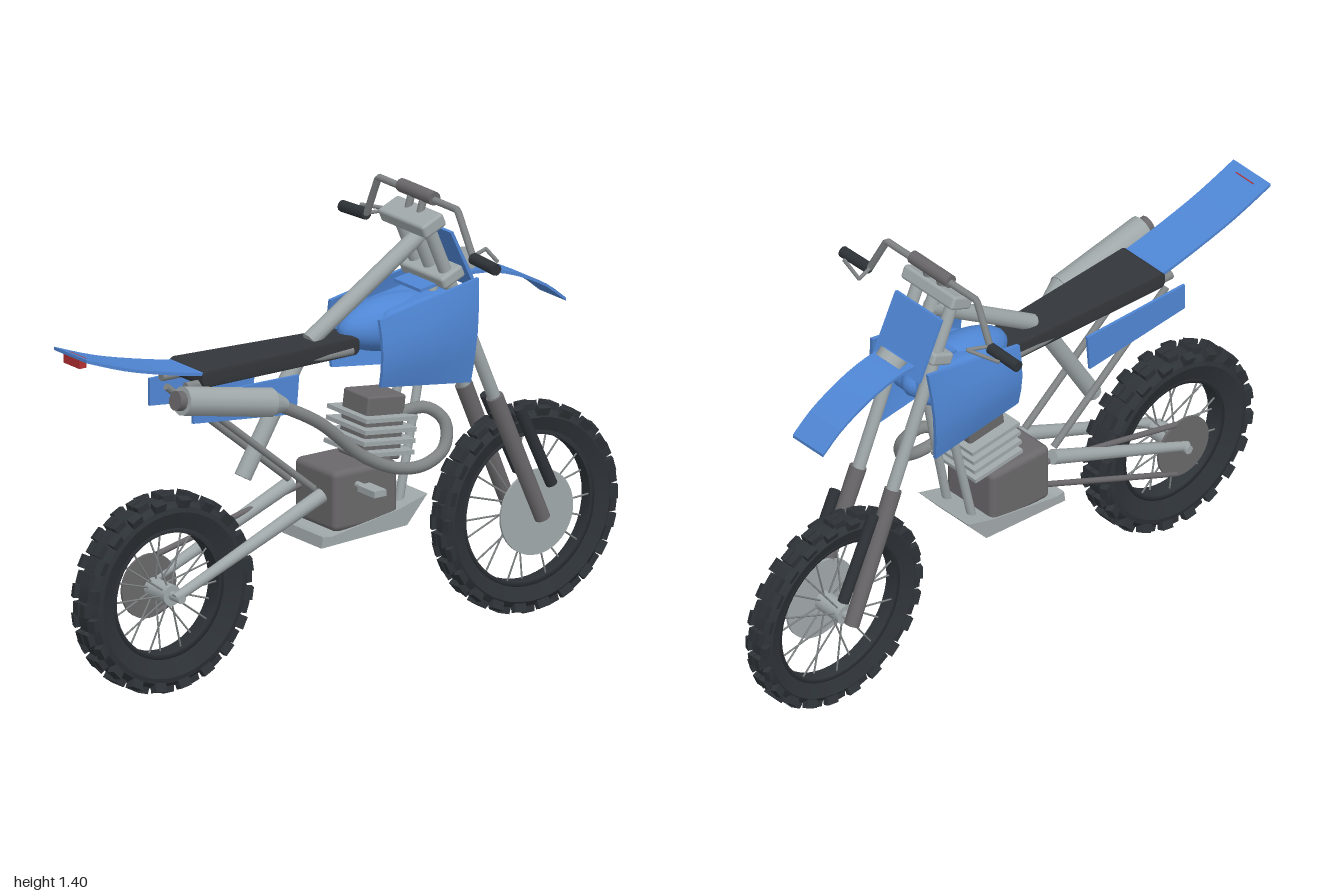
import * as THREE from 'three';
import { mergeGeometries, toCreasedNormals } from 'three/addons/utils/BufferGeometryUtils.js';
import { RoundedBoxGeometry } from 'three/addons/geometries/RoundedBoxGeometry.js';

const V = (x, y, z) => new THREE.Vector3(x, y, z);

export function createModel() {
  const bike = new THREE.Group();
  bike.name = 'dirtBike';
  const mat = (name, color) => Object.assign(new THREE.MeshStandardMaterial({ color }), { name });
  const blue = mat('blue plastic', 0x4f86d4);
  const silver = mat('light metal', 0xa0a8aa);
  const steel = mat('steel', 0x808485);
  const engineGrey = mat('engine grey', 0x6a686a);
  const rubber = mat('rubber', 0x2e3338);
  const seatBlack = mat('seat black', 0x33363a);
  const red = mat('red lens', 0xb52f32);

  const add = (name, geo, material, parent = bike) => {
    const m = new THREE.Mesh(geo, material);
    m.name = name;
    parent.add(m);
    return m;
  };
  // Cylinder between two points
  const rodGeo = (a, b, r, r2 = r, seg = 12) => {
    const d = b.clone().sub(a);
    const g = new THREE.CylinderGeometry(r2, r, d.length(), seg);
    g.applyQuaternion(new THREE.Quaternion().setFromUnitVectors(V(0, 1, 0), d.normalize()));
    const c = a.clone().add(b).multiplyScalar(0.5);
    return g.translate(c.x, c.y, c.z);
  };
  const rod = (name, a, b, r, m, r2) => add(name, rodGeo(a, b, r, r2), m);
  const box = (name, w, h, d, x, y, z, m, rx = 0, bevel = 0) => {
    const g = bevel ? new RoundedBoxGeometry(w, h, d, 2, bevel) : new THREE.BoxGeometry(w, h, d);
    return add(name, g.rotateX(rx).translate(x, y, z), m);
  };
  // Side outline given as [z, y] pairs, extruded across x
  const slab = (name, pts, width, m, x = 0) => {
    const s = new THREE.Shape(pts.map(([z, y]) => new THREE.Vector2(z, y)));
    const g = new THREE.ExtrudeGeometry(s, { depth: width, bevelEnabled: false });
    return add(name, g.translate(0, 0, -width / 2).rotateY(-Math.PI / 2).translate(x, 0, 0), m);
  };
  // Thin curved sheet following [z, y] points
  const sheet = (name, pts, width, m, t = 0.01) => {
    const c = new THREE.SplineCurve(pts.map(([z, y]) => new THREE.Vector2(z, y))).getPoints(14);
    const top = c.map((p) => [p.x, p.y]);
    const low = c.map((p) => [p.x, p.y - t]).reverse();
    return slab(name, [...top, ...low], width, m);
  };

  // Wheels
  function wheel(name, y, z, R, ri, w, knobs) {
    const g = new THREE.Group();
    g.name = name;
    g.position.set(0, y, z);
    bike.add(g);
    const rt = R - 0.016, mid = (rt + ri) / 2 + 0.01;
    const prof = [[ri, -w * 0.55], [mid, -w * 0.95], [rt - 0.02, -w * 0.88], [rt, -w * 0.45], [rt, w * 0.45],
      [rt - 0.02, w * 0.88], [mid, w * 0.95], [ri, w * 0.55], [ri, -w * 0.55]];
    const tire = new THREE.LatheGeometry(prof.map(([r, x]) => new THREE.Vector2(r, x)), 48);
    add('tire', toCreasedNormals(tire.rotateZ(Math.PI / 2), 0.6), rubber, g);
    // Alternating centre and shoulder knobs
    const blocks = [];
    for (let i = 0; i < knobs; i++) {
      for (const s of [-1, 1]) {
        const mid2 = i % 2 === 0;
        const b = new THREE.BoxGeometry(w * (mid2 ? 0.5 : 0.46), 0.03, R * 0.13);
        if (!mid2) b.rotateZ(-s * 0.35);
        b.translate(s * w * (mid2 ? 0.3 : 0.75), R - (mid2 ? 0.015 : 0.023), 0);
        blocks.push(b.rotateX((i / knobs) * Math.PI * 2));
      }
    }
    add('tireKnobs', mergeGeometries(blocks), rubber, g);
    // Rim, spokes and hub
    const rim = [[ri - 0.012, -w * 0.5], [ri + 0.005, -w * 0.58], [ri + 0.005, w * 0.58], [ri - 0.012, w * 0.5], [ri - 0.012, -w * 0.5]];
    add('rim', new THREE.LatheGeometry(rim.map(([r, x]) => new THREE.Vector2(r, x)), 48).rotateZ(Math.PI / 2), rubber, g);
    const spokes = [];
    for (let i = 0; i < 20; i++) {
      const a = (i / 20) * Math.PI * 2, s = i % 2 ? 1 : -1;
      spokes.push(rodGeo(V(s * 0.035, 0.025 * Math.cos(a), 0.025 * Math.sin(a)),
        V(s * 0.01, ri * Math.cos(a), ri * Math.sin(a)), 0.003, 0.003, 5));
    }
    add('spokes', mergeGeometries(spokes), steel, g);
    add('hub', rodGeo(V(-0.05, 0, 0), V(0.05, 0, 0), 0.032, 0.032, 16), silver, g);
    add('axle', rodGeo(V(-0.1, 0, 0), V(0.1, 0, 0), 0.014), silver, g);
    return g;
  }
  const front = wheel('frontWheel', 0.325, -0.67, 0.325, 0.24, 0.043, 44);
  const rear = wheel('rearWheel', 0.308, 0.66, 0.308, 0.2, 0.055, 40);
  add('frontBrakeDisc', rodGeo(V(0.058, 0, 0), V(0.066, 0, 0), 0.133, 0.133, 40), silver, front);
  add('rearSprocket', rodGeo(V(-0.075, 0, 0), V(-0.067, 0, 0), 0.1, 0.1, 32), engineGrey, rear);
  rod('chainUpper', V(-0.071, 0.4, 0.63), V(-0.071, 0.53, 0.05), 0.009, engineGrey);
  rod('chainLower', V(-0.071, 0.22, 0.63), V(-0.071, 0.46, 0.05), 0.009, engineGrey);

  // Fork legs, guards, swingarm and frame tubes on both sides
  const forkZ = (y) => -0.67 + (y - 0.325) * 0.42;
  for (const s of [-1, 1]) {
    rod('forkUpper', V(s * 0.075, 0.68, forkZ(0.68)), V(s * 0.075, 1.32, forkZ(1.32)), 0.02, silver);
    rod('forkLower', V(s * 0.085, 0.31, forkZ(0.31)), V(s * 0.078, 0.72, forkZ(0.72)), 0.024, engineGrey, 0.027);
    rod('forkGuard', V(s * 0.085, 0.41, -0.71), V(s * 0.085, 0.67, -0.59), 0.018, rubber);
    rod('swingarm', V(s * 0.078, 0.308, 0.67), V(s * 0.078, 0.53, 0.13), 0.015, silver, 0.023);
    rod('subframeStrut', V(s * 0.064, 0.92, 0.6), V(s * 0.064, 0.55, 0.15), 0.011, steel);
    rod('seatRail', V(s * 0.062, 0.955, 0.62), V(s * 0.05, 0.95, 0), 0.014, steel);
    rod('downTube', V(s * 0.04, 1.1, -0.31), V(s * 0.055, 0.45, -0.17), 0.014, silver);
    rod('frameUpright', V(s * 0.06, 0.95, 0.12), V(s * 0.07, 0.4, 0.12), 0.012, steel).visible = false;
    rod('barRiser', V(s * 0.03, 1.31, -0.262), V(s * 0.03, 1.375, -0.28), 0.012, steel);
    rod('grip', V(s * 0.27, 1.24, -0.287), V(s * 0.39, 1.235, -0.285), 0.018, rubber);
    rod('lever', V(s * 0.24, 1.25, -0.355), V(s * 0.345, 1.245, -0.32), 0.006, steel);
    rod('leverMount', V(s * 0.265, 1.245, -0.29), V(s * 0.24, 1.25, -0.355), 0.006, steel);

    // Side panel beneath the seat
    slab('sidePanel', [[0.63, 0.94], [0.24, 0.935], [0.25, 0.815], [0.63, 0.855]], 0.009, blue, s * 0.11);

    // Tank shroud: a bowed four-cornered plate
    const g = new THREE.BoxGeometry(0.012, 1, 1, 1, 4, 4), p = g.attributes.position;
    const lerp = THREE.MathUtils.lerp;
    for (let i = 0; i < p.count; i++) {
      const u = 0.5 - p.getZ(i), v = p.getY(i) + 0.5;
      const bow = 0.025 * Math.sin(Math.PI * v) * (0.6 + 0.4 * Math.sin(Math.PI * u));
      p.setXYZ(i, p.getX(i) + s * (0.124 + bow), lerp(lerp(0.845, 0.8, u), lerp(1.055, 1.12, u), v),
        lerp(lerp(-0.05, -0.38, u), lerp(-0.045, -0.41, u), v));
    }
    g.computeVertexNormals();
    add('tankShroud', g, blue);
    box('shroudBracket', 0.05, 0.025, 0.06, s * 0.1, 0.93, -0.2, steel);
  }
  bike.children.filter((c) => !c.visible).forEach((c) => bike.remove(c));

  // Steering head and handlebar
  box('upperClamp', 0.23, 0.045, 0.085, 0, 1.305, forkZ(1.305), silver, 0.4, 0.01);
  box('lowerClamp', 0.22, 0.04, 0.085, 0, 1.13, forkZ(1.13), silver, 0.4, 0.01);
  rod('steeringStem', V(0, 1.1, forkZ(1.1)), V(0, 1.31, forkZ(1.31)), 0.022, silver);
  const bar = new THREE.CurvePath();
  const barPts = [V(-0.38, 1.235, -0.285), V(-0.27, 1.24, -0.287), V(-0.2, 1.375, -0.28),
    V(0.2, 1.375, -0.28), V(0.27, 1.24, -0.287), V(0.38, 1.235, -0.285)];
  for (let i = 0; i < 5; i++) bar.add(new THREE.LineCurve3(barPts[i], barPts[i + 1]));
  add('handlebar', new THREE.TubeGeometry(bar, 80, 0.011, 10), steel);
  rod('barPad', V(-0.085, 1.38, -0.28), V(0.085, 1.38, -0.28), 0.021, engineGrey);

  // Backbone and rear shock
  rod('backbone', V(0, 0.99, 0.12), V(0, 1.25, -0.29), 0.026, silver);
  rod('rearShock', V(0, 0.61, 0.365), V(0, 0.95, 0.16), 0.027, silver);

  // Engine
  box('crankcase', 0.21, 0.19, 0.235, 0, 0.505, -0.015, engineGrey, 0, 0.02);
  box('cylinderHead', 0.13, 0.2, 0.14, 0, 0.69, -0.11, engineGrey, -0.12, 0.008);
  for (let i = 0; i < 4; i++) {
    box('coolingFin', 0.2, 0.013, 0.19, 0, 0.62 + i * 0.035, -0.1 - i * 0.004, silver, -0.12);
  }
  slab('skidPlate', [[0.155, 0.375], [-0.16, 0.39], [-0.235, 0.475], [-0.13, 0.445], [0.12, 0.405], [0.15, 0.41]], 0.22, silver);
  box('kickPedal', 0.085, 0.02, 0.045, 0.18, 0.55, 0.02, silver);
  rod('kickShaft', V(0.1, 0.55, 0.02), V(0.15, 0.55, 0.02), 0.01, silver);

  // Exhaust
  const pipe = new THREE.CatmullRomCurve3([V(0.04, 0.72, -0.17), V(0.085, 0.735, -0.25), V(0.115, 0.69, -0.295),
    V(0.14, 0.62, -0.275), V(0.152, 0.585, -0.2), V(0.155, 0.59, -0.1), V(0.155, 0.65, 0.03),
    V(0.16, 0.79, 0.2), V(0.167, 0.89, 0.38)]);
  add('exhaustPipe', new THREE.TubeGeometry(pipe, 60, 0.019, 12), steel);
  rod('silencerCone', V(0.167, 0.872, 0.33), V(0.167, 0.89, 0.39), 0.02, silver, 0.043);
  rod('silencer', V(0.167, 0.89, 0.385), V(0.167, 0.955, 0.71), 0.045, silver);
  rod('silencerTip', V(0.167, 0.955, 0.71), V(0.167, 0.96, 0.735), 0.03, engineGrey);

  // Tank
  const tank = new THREE.SphereGeometry(1, 24, 16).scale(0.085, 0.085, 0.2);
  add('tank', tank.translate(0, 0.995, -0.19), blue);
  box('tankBody', 0.2, 0.14, 0.27, 0, 1.0, -0.235, blue, 0.15, 0.04);

  // Seat, widening toward the back
  const seat = new RoundedBoxGeometry(1, 0.055, 0.6, 3, 0.02), sp = seat.attributes.position;
  for (let i = 0; i < sp.count; i++) {
    const k = (sp.getZ(i) + 0.3) / 0.6;
    sp.setX(i, sp.getX(i) * THREE.MathUtils.lerp(0.115, 0.18, k));
    sp.setY(i, sp.getY(i) + 0.012 * k);
  }
  seat.computeVertexNormals();
  add('seat', seat.translate(0, 0.963, 0.275), seatBlack);

  // Fenders, number plate and lights
  sheet('rearFender', [[0.52, 0.995], [0.6, 1.0], [0.83, 1.055], [1.0, 1.115]], 0.165, blue);
  sheet('frontFender', [[-0.24, 1.1], [-0.42, 1.122], [-0.555, 1.1], [-0.69, 1.04], [-0.775, 0.975]], 0.135, blue);
  slab('numberPlate', [[-0.325, 1.27], [-0.415, 1.08], [-0.425, 1.085], [-0.335, 1.272]], 0.205, blue);
  box('tailLight', 0.08, 0.03, 0.025, 0, 1.09, 0.982, red);
  rod('headlight', V(0, 1.14, -0.43), V(0, 1.12, -0.452), 0.047, silver);
  return bike;
}
